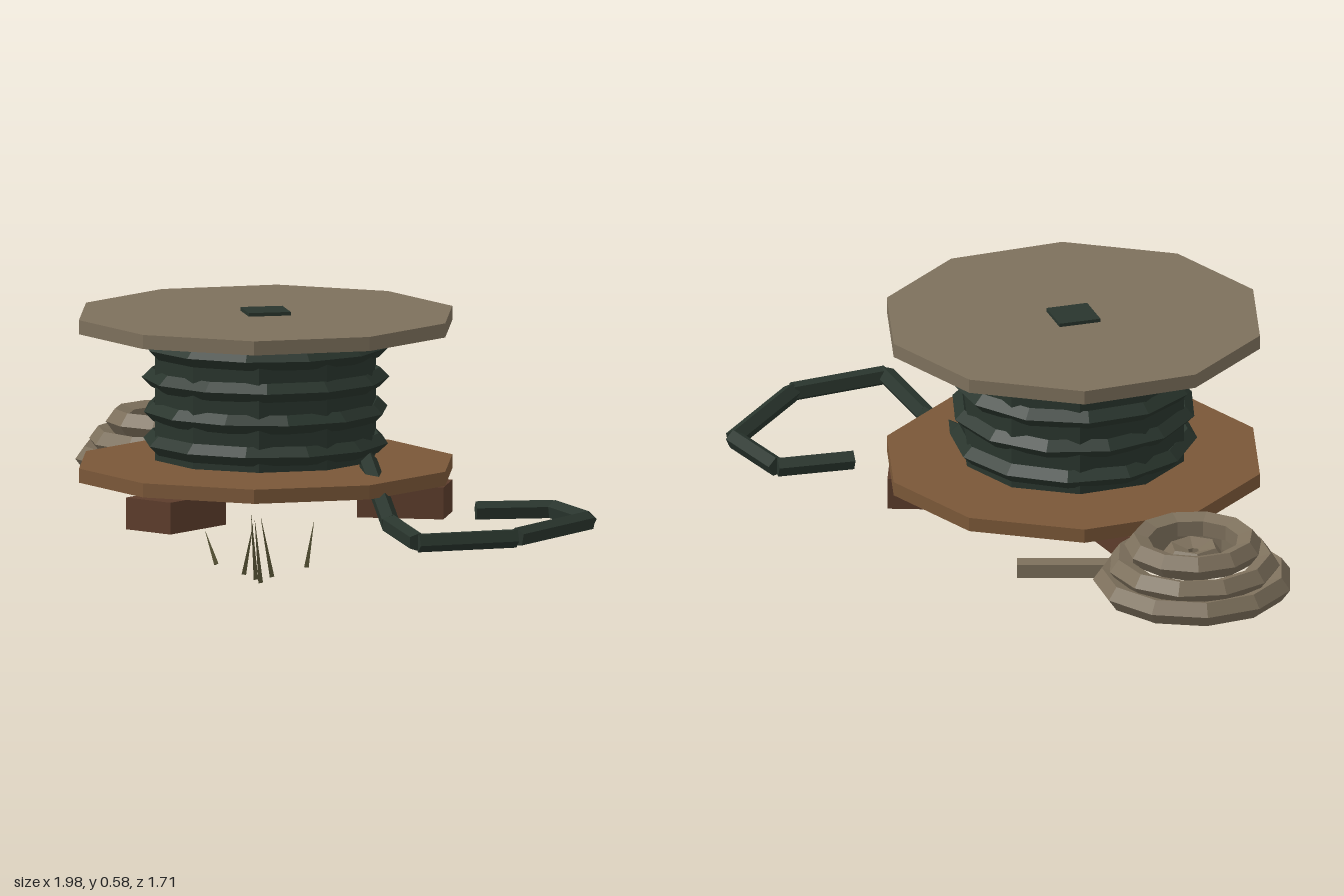
import * as THREE from 'three';

const material = (name, color) => {
  const m = new THREE.MeshStandardMaterial({ color });
  m.name = name;
  return m;
};

// Faceted low-poly shading through split normals
const facet = (geometry) => {
  const g = geometry.index ? geometry.toNonIndexed() : geometry;
  g.computeVertexNormals();
  return g;
};

export function createModel() {
  const model = new THREE.Group();
  model.name = 'cableSpool';
  const paleWood = material('weathered tan', 0x7d705c);
  const brownWood = material('brown wood', 0x7a5738);
  const darkWood = material('dark wood', 0x5c3c2b);
  const cableGreen = material('dark green cable', 0x29352d);
  const grassGreen = material('dry grass', 0x5f5a3a);

  const add = (parent, name, geometry, mat, x = 0, y = 0, z = 0) => {
    const mesh = new THREE.Mesh(facet(geometry), mat);
    mesh.name = name;
    mesh.position.set(x, y, z);
    parent.add(mesh);
    return mesh;
  };
  const group = (name, x = 0, y = 0, z = 0) => {
    const g = new THREE.Group();
    g.name = name;
    g.position.set(x, y, z);
    model.add(g);
    return g;
  };
  // Tapered prism running from a to b
  const rod = (parent, name, a, b, r0, r1, sides, mat) => {
    const start = new THREE.Vector3(...a), end = new THREE.Vector3(...b);
    const dir = end.clone().sub(start);
    const mesh = add(parent, name, new THREE.CylinderGeometry(r1, r0, dir.length(), sides), mat);
    mesh.position.copy(start).add(end).multiplyScalar(0.5);
    mesh.quaternion.setFromUnitVectors(new THREE.Vector3(0, 1, 0), dir.normalize());
  };
  // Horizontal faceted ring
  const ring = (R, t, radial, tubular, turn) =>
    new THREE.TorusGeometry(R, t, radial, tubular).rotateX(Math.PI / 2).rotateY(turn);

  // Spool: two ten-sided flanges, square hub and wound drum
  const spool = group('spool', -0.07, 0, -0.185);
  add(spool, 'topFlange', new THREE.CylinderGeometry(0.54, 0.54, 0.04, 10), paleWood, 0, 0.55, 0);
  add(spool, 'bottomFlange', new THREE.CylinderGeometry(0.54, 0.54, 0.04, 10), brownWood, 0, 0.13, 0);
  add(spool, 'hub', new THREE.CylinderGeometry(0.085, 0.085, 0.465, 4).rotateY(0.1), cableGreen, 0, 0.3475, 0);
  add(spool, 'woundDrum', new THREE.CylinderGeometry(0.32, 0.32, 0.35, 10), cableGreen, 0, 0.34, 0);
  [0.21, 0.3, 0.39, 0.48].forEach((y, i) =>
    add(spool, 'cableWrap', ring(0.32, 0.027, 4, 12, i * 0.35), cableGreen, 0, y, 0));

  // Three radial foot blocks
  for (let i = 0; i < 3; i++) {
    const a = (i * Math.PI * 2) / 3;
    const foot = add(spool, 'foot', new THREE.BoxGeometry(0.16, 0.09, 0.245), darkWood,
      Math.sin(a) * 0.395, 0.055, Math.cos(a) * 0.395);
    foot.rotation.y = a;
  }

  // Loose cable end trailing off the drum
  const cable = group('looseCable');
  const path = [
    [0.22, 0.17, -0.28], [0.55, 0.055, 0.02], [0.81, 0.05, 0.215], [0.965, 0.05, -0.03],
    [0.92, 0.05, -0.4], [0.71, 0.05, -0.505], [0.56, 0.05, -0.345],
  ];
  for (let i = 1; i < path.length; i++) {
    rod(cable, 'cableSegment', path[i - 1], path[i], 0.028, 0.028, 5, cableGreen);
  }

  // Stacked rope coil with a straight tail
  const coil = group('ropeCoil', -0.72, 0, -0.575);
  [[0.245, 0.058, 0], [0.205, 0.105, 0.25], [0.157, 0.16, 0.5]].forEach(([R, y, turn]) =>
    add(coil, 'ropeLoop', ring(R, 0.037, 5, 11, turn), paleWood, 0, y, 0));
  add(coil, 'ropeCentre', ring(0.053, 0.045, 5, 6, 0.2), paleWood, 0, 0.12, 0);
  const tail = add(coil, 'ropeTail', new THREE.BoxGeometry(0.27, 0.04, 0.05), paleWood, 0.35, 0.055, -0.12);
  tail.rotation.y = 0.57;

  // Grass blades: base x, z, tip x, z, height
  const grass = group('grassTuft');
  [
    [0.655, 0.52, 0.655, 0.485, 0.125], [0.425, 0.637, 0.385, 0.635, 0.09],
    [0.605, 0.735, 0.62, 0.71, 0.14], [0.695, 0.72, 0.685, 0.755, 0.17],
    [0.69, 0.785, 0.695, 0.81, 0.185], [0.74, 0.825, 0.745, 0.855, 0.18],
  ].forEach(([x0, z0, x1, z1, h]) =>
    rod(grass, 'grassBlade', [x0, 0, z0], [x1, h, z1], 0.008, 0.0005, 3, grassGreen));

  return model;
}
